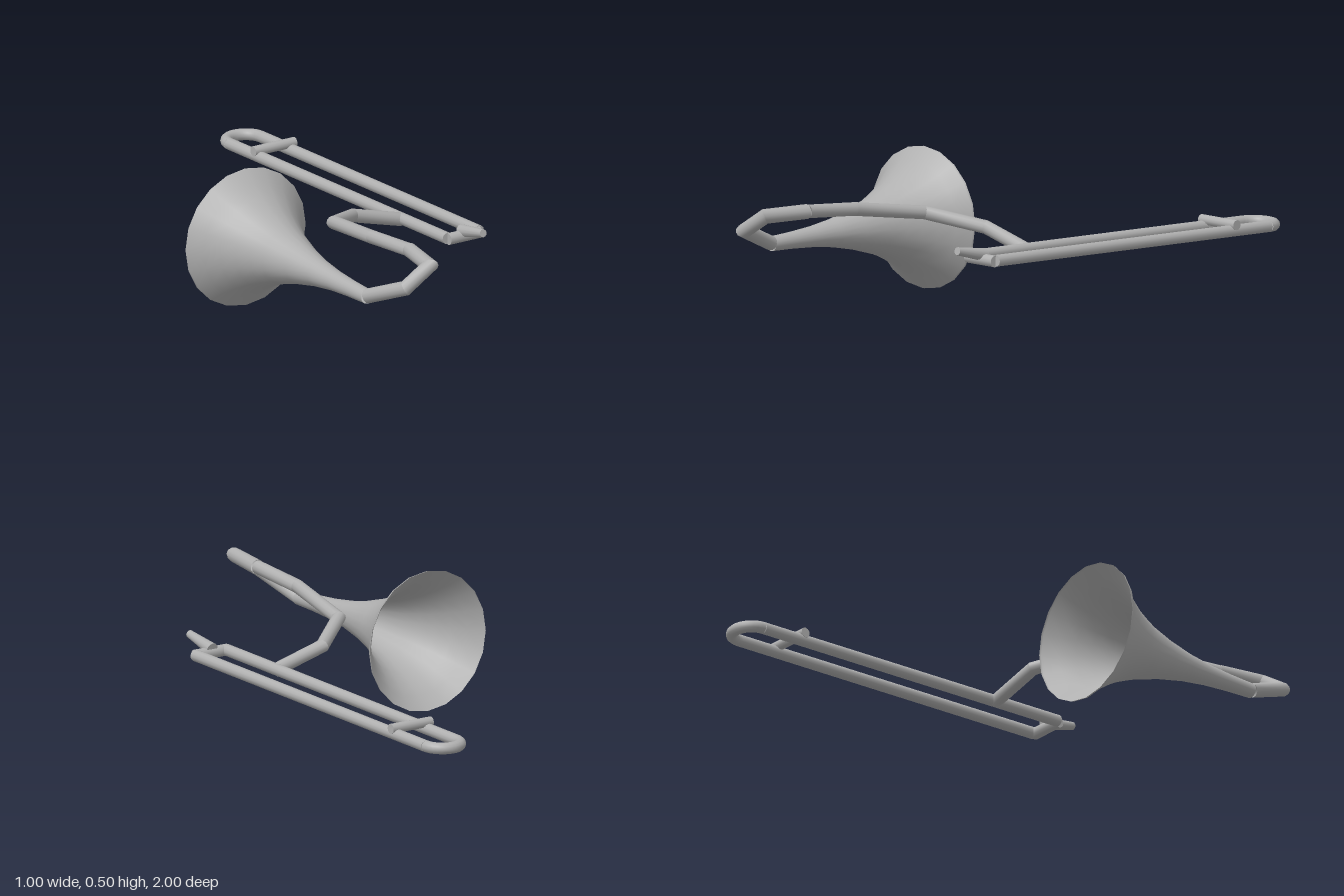
import * as THREE from 'three';

const V = (x, y, z) => new THREE.Vector3(x, y, z);
const SIDES = 12;

// Mitred pipe along a polyline: each ring is slid along its segment onto the bisecting plane.
function mitredPipe(points, r) {
  const dirs = points.slice(1).map((p, i) => p.clone().sub(points[i]).normalize());
  const u = V(1, 0, 0).cross(dirs[0]).normalize();
  const v = dirs[0].clone().cross(u);
  let ring = [];
  for (let j = 0; j < SIDES; j++) {
    const a = (j / SIDES) * Math.PI * 2;
    ring.push(points[0].clone().addScaledVector(u, r * Math.cos(a)).addScaledVector(v, r * Math.sin(a)));
  }
  const pos = [], index = [];
  dirs.forEach((d, i) => {
    const normal = d.clone().add(dirs[i + 1] ?? d);
    const next = ring.map((p) =>
      p.clone().addScaledVector(d, points[i + 1].clone().sub(p).dot(normal) / d.dot(normal)));
    const base = pos.length / 3;
    [...ring, ...next].forEach((p) => pos.push(p.x, p.y, p.z));
    for (let j = 0; j < SIDES; j++) {
      const a = base + j, b = base + ((j + 1) % SIDES);
      index.push(a, b, b + SIDES, a, b + SIDES, a + SIDES);
    }
    ring = next;
  });
  const geo = new THREE.BufferGeometry();
  geo.setAttribute('position', new THREE.Float32BufferAttribute(pos, 3));
  geo.setIndex(index);
  geo.computeVertexNormals();
  return geo;
}

// Capped straight rod from a to b, optionally tapered.
function rod(a, b, ra, rb = ra) {
  const d = b.clone().sub(a);
  const geo = new THREE.CylinderGeometry(rb, ra, d.length(), SIDES);
  geo.applyQuaternion(new THREE.Quaternion().setFromUnitVectors(V(0, 1, 0), d.normalize()));
  const mid = a.clone().add(b).multiplyScalar(0.5);
  return geo.translate(mid.x, mid.y, mid.z);
}

export function createModel() {
  const model = new THREE.Group();
  const metal = new THREE.MeshStandardMaterial({ color: 0xb0b0b0, side: THREE.DoubleSide });
  metal.name = 'greyMetal';
  const add = (name, geo) => {
    const mesh = new THREE.Mesh(geo, metal);
    mesh.name = name;
    model.add(mesh);
  };

  // Flared bell, opening to the back
  const profile = [[0.251, 0.05], [0.249, 0.058], [0.208, 0.1], [0.173, 0.15], [0.143, 0.2], [0.12, 0.25],
    [0.1, 0.3], [0.071, 0.4], [0.05, 0.5], [0.037, 0.6], [0.03, 0.7], [0.026, 0.8]];
  const bell = new THREE.LatheGeometry(profile.map(([r, z]) => new THREE.Vector2(r, z)), 20);
  bell.rotateX(Math.PI / 2).translate(-0.25, 0.254, 0);
  add('bell', bell);

  // Front bow from the bell to the neck
  add('tuningBow', mitredPipe([V(-0.25, 0.256, 0.8), V(-0.208, 0.327, 0.972),
    V(-0.107, 0.39, 0.972), V(-0.073, 0.39, 0.8)], 0.026));

  // Neck crossing over to the slide
  add('neckPipe', mitredPipe([V(-0.073, 0.39, 0.8), V(-0.073, 0.37, 0.57), V(-0.028, 0.326, 0.27),
    V(0.14, 0.279, 0.138), V(0.344, 0.224, 0.138)], 0.024));

  // Slide: two long legs joined by a half-round bow, sloping down to the back
  const cx = 0.41, half = 0.066, r = 0.021;
  const front = { y: 0.238, z: 0.425 }, back = { y: 0.192, z: -0.913 };
  for (const s of [-1, 1]) {
    const x = cx + s * half;
    add(s > 0 ? 'leftSlideLeg' : 'rightSlideLeg', rod(V(x, front.y, front.z), V(x, back.y, back.z), r));
  }
  const arc = [];
  for (let i = 0; i <= 12; i++) {
    const a = (i / 12) * Math.PI;
    arc.push(V(cx + half * Math.cos(a), back.y - 0.002 * Math.sin(a), back.z - half * Math.sin(a)));
  }
  add('slideBow', new THREE.TubeGeometry(new THREE.CatmullRomCurve3(arc), 16, r, SIDES));

  // Braces across the slide
  add('frontBrace', rod(V(cx - half, 0.236, 0.428), V(cx + half, 0.236, 0.428), 0.021));
  add('backBrace', rod(V(cx - 0.087, 0.22, -0.737), V(cx + 0.087, 0.22, -0.737), 0.018));

  // Mouthpiece
  add('mouthpiece', rod(V(cx, 0.25, 0.415), V(cx, 0.279, 0.547), 0.023, 0.014));

  return model;
}
